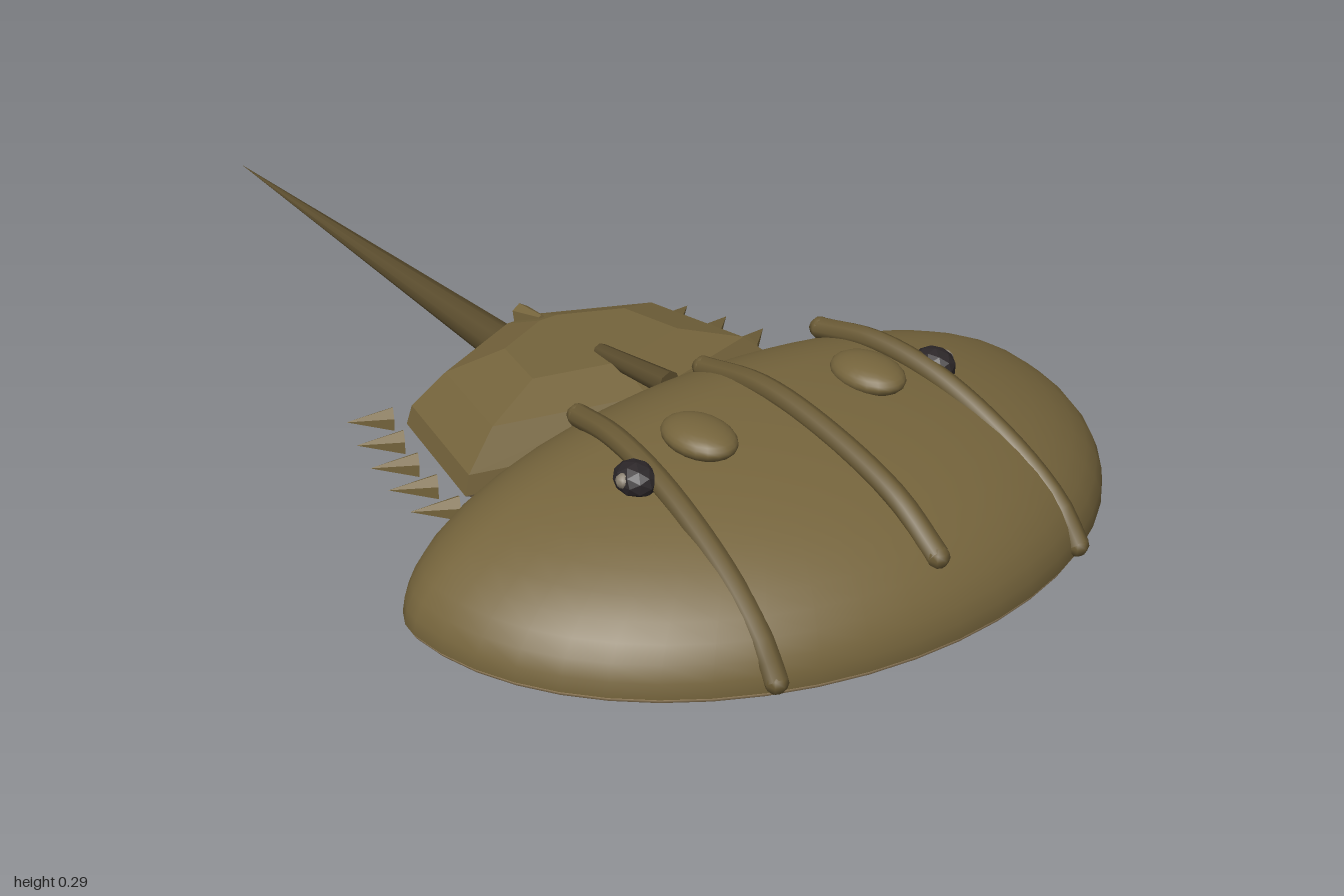
import * as THREE from 'three';

function paint(name, color) {
  const material = new THREE.MeshStandardMaterial({ color });
  material.name = name;
  return material;
}
const shell = paint('olive shell', 0x75643c);
const ridgeBrown = paint('ridge olive', 0x6a5a35);
const tailBrown = paint('dark tail brown', 0x5a4c2d);
const tan = paint('tan underside', 0xa8906a);
const dark = paint('dark eye', 0x2b2628);
const pale = paint('pale glint', 0x8c8272);

const V = (x, y, z) => new THREE.Vector3(x, y, z);

function add(group, name, geometry, material, x = 0, y = 0, z = 0) {
  const mesh = new THREE.Mesh(geometry, material);
  mesh.name = name;
  mesh.position.set(x, y, z);
  group.add(mesh);
  return mesh;
}

function faceted(geometry) {
  const g = geometry.index ? geometry.toNonIndexed() : geometry;
  g.computeVertexNormals();
  return g;
}

// Tapered rod from a wide base to a tip
function spike(group, name, base, tip, radius, sides, material, tipRadius = 0) {
  const dir = tip.clone().sub(base);
  const g = new THREE.CylinderGeometry(tipRadius, radius, dir.length(), sides);
  const mesh = add(group, name, sides < 8 ? faceted(g) : g, material);
  mesh.position.copy(base).add(tip).multiplyScalar(0.5);
  mesh.quaternion.setFromUnitVectors(V(0, 1, 0), dir.normalize());
}

// Half dome whose front is longer than its back
function halfDome(height, upper) {
  const g = new THREE.SphereGeometry(1, 48, 14, 0, Math.PI * 2, upper ? 0 : Math.PI / 2, Math.PI / 2);
  const p = g.attributes.position;
  const n = g.attributes.normal;
  for (let i = 0; i < p.count; i++) {
    const x = p.getX(i), y = p.getY(i), z = p.getZ(i);
    const depth = z > 0 ? 0.465 : 0.232;
    p.setXYZ(i, x * 0.617, y * height, z * depth);
    const normal = V(x / 0.617, y / height, z / depth).normalize();
    n.setXYZ(i, normal.x, normal.y, normal.z);
  }
  return g;
}

// Closed solid from stacked loops of equal length, with end caps
function loft(loops) {
  const pos = [], idx = [], n = loops[0].length;
  loops.forEach(loop => loop.forEach(v => pos.push(v.x, v.y, v.z)));
  for (let r = 0; r < loops.length - 1; r++) {
    for (let i = 0; i < n; i++) {
      const j = (i + 1) % n, a = r * n;
      idx.push(a + i, a + j, a + n + j, a + i, a + n + j, a + n + i);
    }
  }
  const last = (loops.length - 1) * n;
  for (let i = 1; i < n - 1; i++) {
    idx.push(0, i + 1, i, last, last + i, last + i + 1);
  }
  const g = new THREE.BufferGeometry();
  g.setAttribute('position', new THREE.Float32BufferAttribute(pos, 3));
  g.setIndex(idx);
  return faceted(g);
}

function ridge(points) {
  const curve = new THREE.CatmullRomCurve3(points);
  const group = new THREE.Group();
  add(group, 'ridgeTube', new THREE.TubeGeometry(curve, 20, 0.018, 8), ridgeBrown);
  for (const end of [points[0], points[points.length - 1]]) {
    add(group, 'ridgeEnd', new THREE.SphereGeometry(0.018, 8, 6), ridgeBrown, end.x, end.y, end.z);
  }
  return group;
}

export function createModel() {
  const model = new THREE.Group();
  model.name = 'horseshoeCrab';

  // Front shield
  add(model, 'carapaceTop', halfDome(0.21, true), shell, 0, 0.063, 0.532);
  add(model, 'carapaceUnderside', halfDome(0.062, false), tan, 0, 0.063, 0.532);

  // Ridges over the shield
  const middle = ridge([V(0, 0.25, 0.42), V(0, 0.276, 0.55), V(0, 0.268, 0.68),
    V(0, 0.225, 0.85), V(0, 0.17, 0.94)]);
  middle.name = 'middleRidge';
  model.add(middle);
  for (const s of [1, -1]) {
    const side = s > 0 ? 'left' : 'right';
    const r = ridge([V(s * 0.242, 0.245, 0.42), V(s * 0.258, 0.262, 0.53), V(s * 0.272, 0.247, 0.66),
      V(s * 0.285, 0.19, 0.81), V(s * 0.293, 0.13, 0.9), V(s * 0.296, 0.08, 0.94)]);
    r.name = side + 'Ridge';
    model.add(r);

    // Swellings and eyes
    add(model, side + 'Swelling', new THREE.SphereGeometry(1, 20, 14), shell, s * 0.166, 0.27, 0.61)
      .scale.set(0.049, 0.025, 0.067);
    add(model, side + 'Eye', faceted(new THREE.IcosahedronGeometry(1, 1)), dark, s * 0.294, 0.25, 0.624)
      .scale.set(0.031, 0.027, 0.037);
    add(model, side + 'EyeGlint', new THREE.SphereGeometry(0.012, 8, 6), pale, s * 0.317, 0.255, 0.625);

    // Spines along the abdomen edge
    const tipX = [0.36, 0.388, 0.41, 0.424, 0.433];
    tipX.forEach((x, i) => {
      const z = -0.05 + i * 0.074;
      spike(model, side + 'Spine', V(s * (x - 0.068), 0.06, z + 0.036), V(s * x, 0.06, z), 0.022, 6, shell);
    });
  }

  // Faceted abdomen, seen from above as a hexagon
  const outline = [[0, 0.33], [0.33, 0.247], [0.275, 0], [0.04, -0.105],
    [-0.04, -0.105], [-0.275, 0], [-0.33, 0.247]];
  const ring = (scale, y) => outline.map(([x, z]) => V(x * scale, y, 0.12 + (z - 0.12) * scale));
  add(model, 'abdomenTop', loft([ring(1, 0.052), ring(0.97, 0.085),
    ring(0.78, 0.14), ring(0.45, 0.172)]), shell);
  add(model, 'abdomenUnderside', loft([ring(0.6, 0.02), ring(0.9, 0.032), ring(1, 0.052)]), tan);

  // Keel rods on the abdomen
  spike(model, 'frontKeel', V(0, 0.185, 0.34), V(0, 0.168, 0.16), 0.021, 8, tailBrown, 0.014);
  spike(model, 'rearKeel', V(0, 0.148, -0.06), V(0, 0.163, 0), 0.018, 6, shell, 0.006);

  // Tail
  spike(model, 'tail', V(0, 0.065, -0.095), V(0, 0.096, -0.997), 0.036, 10, tailBrown);
  return model;
}
